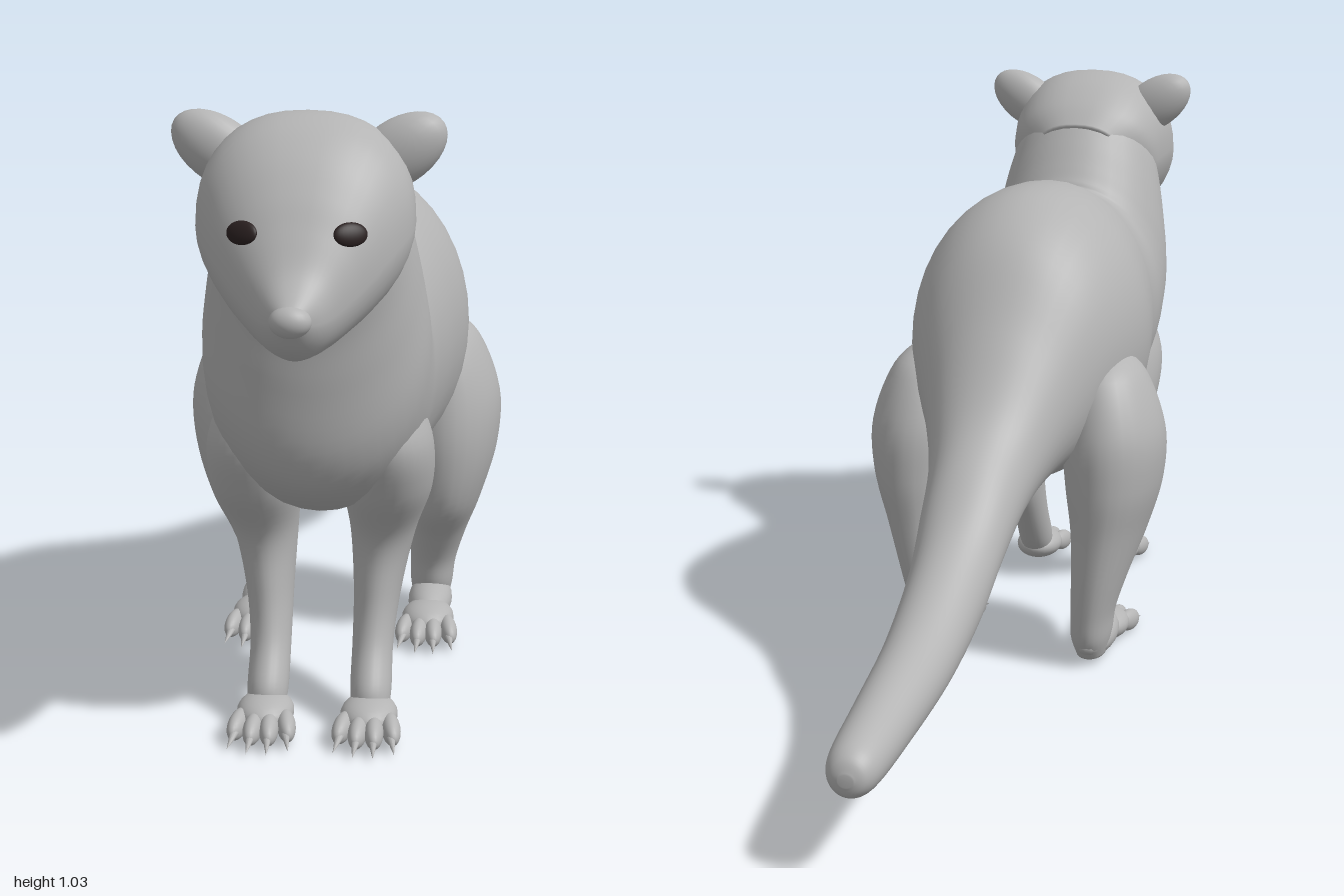
import * as THREE from 'three';

const fur = new THREE.MeshStandardMaterial({ color: 0xb4b4b4 });
fur.name = 'grey fur';
const dark = new THREE.MeshStandardMaterial({ color: 0x2a2020 });
dark.name = 'dark eye';

// Smooth interpolation between four numbers
const spline = (a, b, c, d, t) =>
  b + 0.5 * t * (c - a + t * (2 * a - 5 * b + 4 * c - d + t * (3 * (b - c) + d - a)));

// Skin over cross-sections: [z upper, y upper, z lower, y lower, half width, x centre].
// upperPow and lowerPow below 1 make a half squarer, above 1 more pointed.
function loft(name, rows, upperPow = 1, lowerPow = 1, sides = 40, steps = 6) {
  const rings = [];
  const row = i => rows[Math.max(0, Math.min(rows.length - 1, i))];
  for (let i = 0; i < rows.length - 1; i++) {
    for (let s = 0; s < steps; s++) {
      rings.push(row(i).map((_, k) =>
        spline(row(i - 1)[k], row(i)[k], row(i + 1)[k], row(i + 2)[k], s / steps)));
    }
  }
  rings.push(rows[rows.length - 1]);
  const pos = [], index = [];
  for (const [zt, yt, zb, yb, w, x = 0] of rings) {
    for (let j = 0; j < sides; j++) {
      const a = j / sides * Math.PI * 2, c = Math.cos(a), s = Math.sin(a);
      const p = s > 0 ? upperPow : lowerPow;
      const u = Math.sign(c) * Math.abs(c) ** p, v = Math.sign(s) * Math.abs(s) ** p;
      pos.push(x + w * u, (yt + yb + (yt - yb) * v) / 2, (zt + zb + (zt - zb) * v) / 2);
    }
  }
  for (let i = 0; i < rings.length - 1; i++) {
    for (let j = 0; j < sides; j++) {
      const a = i * sides + j, b = i * sides + (j + 1) % sides;
      index.push(a, b, b + sides, a, b + sides, a + sides);
    }
  }
  // End caps
  [0, rings.length - 1].forEach((r, end) => {
    const [zt, yt, zb, yb, , x = 0] = rings[r], c = pos.length / 3;
    pos.push(x, (yt + yb) / 2, (zt + zb) / 2);
    for (let j = 0; j < sides; j++) {
      const a = r * sides + j, b = r * sides + (j + 1) % sides;
      if (end) index.push(c, a, b); else index.push(c, b, a);
    }
  });
  const g = new THREE.BufferGeometry();
  g.setAttribute('position', new THREE.Float32BufferAttribute(pos, 3));
  g.setIndex(index);
  g.computeVertexNormals();
  const mesh = new THREE.Mesh(g, fur);
  mesh.name = name;
  return mesh;
}

function ellipsoid(name, centre, radii, material = fur) {
  const mesh = new THREE.Mesh(new THREE.SphereGeometry(1, 24, 16), material);
  mesh.position.set(...centre);
  mesh.scale.set(...radii);
  mesh.name = name;
  return mesh;
}

// Paw with four spread toes and small claws
function paw(name, x, z) {
  const g = new THREE.Group();
  g.name = name;
  g.position.set(x, 0, z);
  g.add(ellipsoid('pad', [0, 0.034, 0], [0.047, 0.03, 0.062]));
  for (let i = 0; i < 4; i++) {
    const u = i - 1.5, reach = 0.07 - 0.009 * u * u;
    const toe = ellipsoid('toe', [u * 0.026, 0.027, reach - 0.005], [0.0155, 0.021, 0.04]);
    toe.rotation.set(0.15, u * 0.12, 0);
    const claw = new THREE.Mesh(new THREE.ConeGeometry(0.008, 0.045, 10), fur);
    claw.name = 'claw';
    claw.position.set(u * 0.03, 0.018, reach + 0.043);
    claw.rotation.set(Math.PI / 2 + 0.3, 0, -u * 0.12);
    g.add(toe, claw);
  }
  return g;
}

export function createModel() {
  const model = new THREE.Group();
  model.name = 'animal';

  // Tail, trunk, chest and neck in one skin
  model.add(loft('bodyAndTail', [
    [-1, 0.18, -1, 0.16, 0.012],
    [-0.985, 0.205, -0.99, 0.14, 0.032],
    [-0.94, 0.222, -0.95, 0.132, 0.045],
    [-0.8, 0.245, -0.82, 0.137, 0.053],
    [-0.6, 0.285, -0.63, 0.152, 0.062],
    [-0.42, 0.365, -0.47, 0.185, 0.07],
    [-0.3, 0.455, -0.35, 0.245, 0.08],
    [-0.2, 0.535, -0.22, 0.305, 0.095],
    [-0.1, 0.66, -0.11, 0.338, 0.13],
    [0, 0.79, 0, 0.348, 0.18],
    [0.1, 0.855, 0.1, 0.33, 0.213],
    [0.2, 0.875, 0.2, 0.318, 0.225],
    [0.32, 0.868, 0.32, 0.327, 0.21],
    [0.42, 0.845, 0.43, 0.337, 0.192],
    [0.48, 0.828, 0.57, 0.362, 0.185],
    [0.495, 0.84, 0.68, 0.415, 0.183],
    [0.515, 0.87, 0.73, 0.487, 0.18],
    [0.545, 0.915, 0.747, 0.6, 0.168],
    [0.58, 0.96, 0.755, 0.68, 0.155],
    [0.62, 0.985, 0.77, 0.74, 0.14],
  ]));

  // Head tapering to the snout
  const head = loft('head', [
    [0.56, 0.94, 0.62, 0.79, 0.09],
    [0.6, 0.982, 0.68, 0.735, 0.14],
    [0.66, 1.02, 0.72, 0.715, 0.157],
    [0.73, 1.037, 0.77, 0.712, 0.165],
    [0.79, 1.022, 0.8, 0.706, 0.161],
    [0.84, 0.985, 0.84, 0.7, 0.14],
    [0.88, 0.935, 0.87, 0.697, 0.115],
    [0.91, 0.885, 0.9, 0.695, 0.088],
    [0.94, 0.835, 0.93, 0.7, 0.06],
    [0.97, 0.803, 0.96, 0.72, 0.037],
    [0.988, 0.785, 0.982, 0.748, 0.018],
  ], 0.85, 1.12);
  model.add(head);
  model.add(ellipsoid('nose', [0, 0.768, 0.976], [0.031, 0.024, 0.024]));

  const ray = new THREE.Raycaster();
  for (const side of [1, -1]) {
    const label = side > 0 ? 'left' : 'right';

    // Ear
    const ear = ellipsoid(label + 'Ear', [side * 0.135, 0.973, 0.715], [0.083, 0.05, 0.036]);
    ear.rotation.z = side * 0.6;
    model.add(ear);

    // Eye laid on the face surface
    ray.set(new THREE.Vector3(side * 0.079, 0.88, 2), new THREE.Vector3(0, 0, -1));
    const hit = ray.intersectObject(head)[0];
    const eye = ellipsoid(label + 'Eye', hit.point.toArray(), [0.027, 0.018, 0.008], dark);
    eye.lookAt(hit.point.clone().add(hit.face.normal));
    model.add(eye);

    // Front leg
    const fx = side * 0.085;
    model.add(loft(label + 'FrontLeg', [
      [0.63, 0.58, 0.5, 0.58, 0.03, side * 0.115],
      [0.665, 0.49, 0.45, 0.49, 0.07, side * 0.112],
      [0.63, 0.4, 0.42, 0.4, 0.073, side * 0.108],
      [0.567, 0.31, 0.405, 0.31, 0.054, side * 0.098],
      [0.565, 0.22, 0.435, 0.21, 0.04, side * 0.09],
      [0.585, 0.14, 0.49, 0.125, 0.034, fx],
      [0.625, 0.075, 0.54, 0.055, 0.034, fx],
      [0.63, 0.04, 0.57, 0.025, 0.03, fx],
    ], 1, 1, 28));
    model.add(paw(label + 'FrontPaw', fx, 0.62));

    // Hind leg
    const hx = side * 0.155;
    model.add(loft(label + 'HindLeg', [
      [0.12, 0.6, 0.06, 0.59, 0.025, side * 0.165],
      [0.18, 0.55, -0.01, 0.55, 0.068, side * 0.172],
      [0.21, 0.45, -0.055, 0.45, 0.095, side * 0.183],
      [0.22, 0.35, -0.063, 0.35, 0.09, side * 0.185],
      [0.2, 0.25, -0.056, 0.26, 0.07, side * 0.178],
      [0.14, 0.18, -0.05, 0.17, 0.053, side * 0.167],
      [0.1, 0.12, -0.042, 0.1, 0.042, side * 0.158],
      [0.085, 0.07, -0.033, 0.05, 0.038, hx],
      [0.06, 0.03, -0.01, 0.015, 0.028, hx],
    ], 1, 1, 28));
    model.add(ellipsoid(label + 'HindFoot', [hx, 0.042, 0.07], [0.04, 0.034, 0.1]));
    model.add(paw(label + 'HindPaw', hx, 0.15));
  }
  return model;
}
